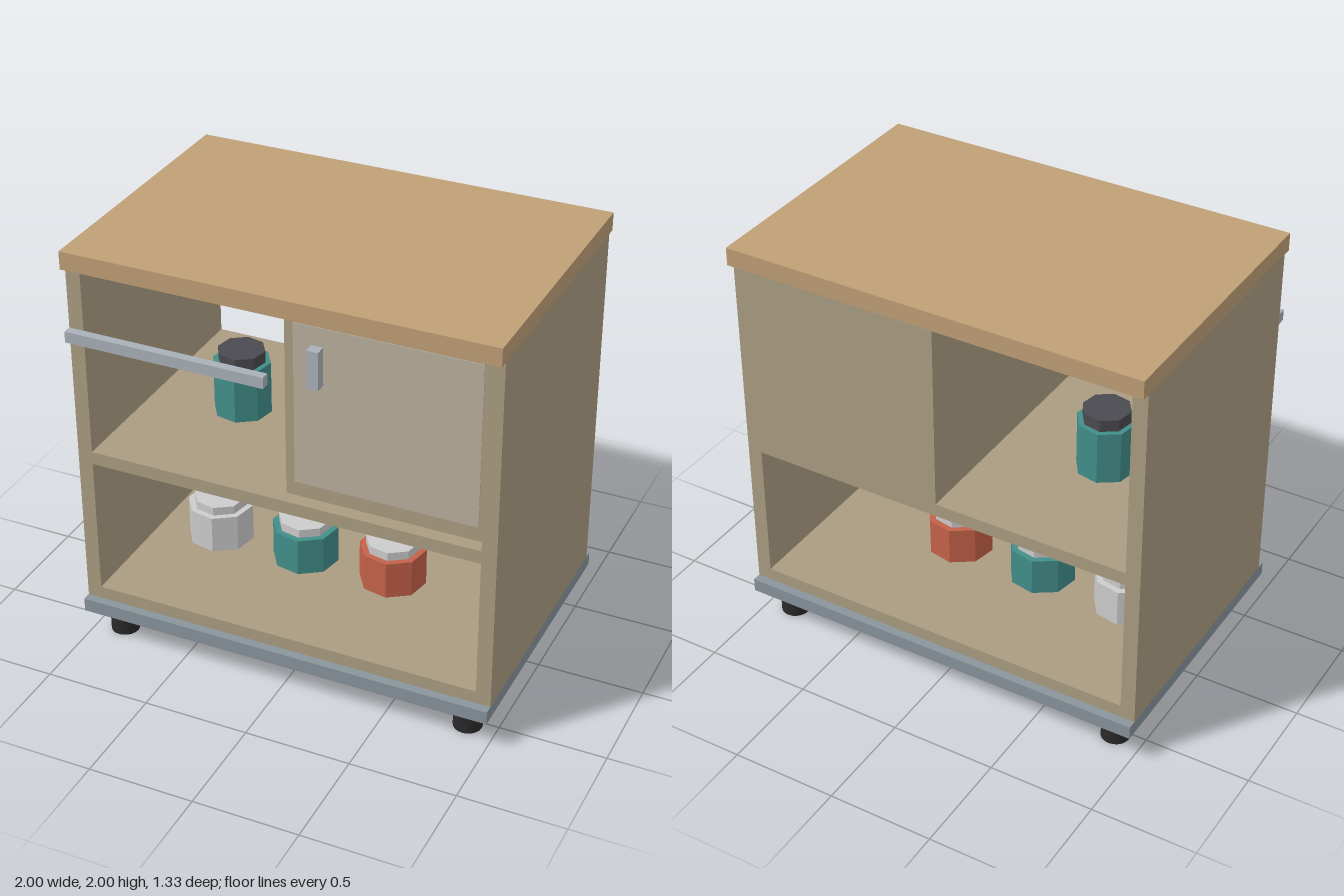
import * as THREE from 'three';

const mat = (color, flatShading = false) => new THREE.MeshStandardMaterial({ color, flatShading });

export function createModel() {
  const model = new THREE.Group();
  model.name = 'kitchenCart';

  const body = mat(0xaa9c81), wood = mat(0xbf9f76), metal = mat(0xaab0b8);
  const baseGrey = mat(0x8a949c), black = mat(0x2a2a2c), doorLight = mat(0xb9af9b);
  const teal = mat(0x428e89, true), red = mat(0xc4614a, true);
  const grey = mat(0xcccccc, true), dark = mat(0x4a4a50, true);

  // Box given by its min and max corners
  const box = (name, material, [x0, y0, z0], [x1, y1, z1]) => {
    const mesh = new THREE.Mesh(new THREE.BoxGeometry(x1 - x0, y1 - y0, z1 - z0), material);
    mesh.position.set((x0 + x1) / 2, (y0 + y1) / 2, (z0 + z1) / 2);
    mesh.name = name;
    model.add(mesh);
  };

  const D = 0.667; // half depth of top and base
  const d = 0.625; // half depth of carcass

  // Carcass, open at front and back
  box('worktop', wood, [-1, 1.915, -D], [1, 2, D]);
  box('basePlate', baseGrey, [-1, 0.14, -D], [1, 0.205, D]);
  box('leftSide', body, [0.93, 0.205, -d], [1, 1.915, d]);
  box('rightSide', body, [-1, 0.205, -d], [-0.93, 1.915, d]);
  box('bottomShelf', body, [-0.93, 0.205, -d], [0.93, 0.267, d]);
  box('middleShelf', body, [-0.93, 0.937, -d], [0.93, 1, d]);

  // Closed cupboard, its front set back behind the side edges
  box('cupboard', body, [0, 1, -d], [0.93, 1.915, 0.56]);
  box('doorPanel', doorLight, [0.042, 1.07, 0.56], [0.89, 1.848, 0.564]);
  box('doorHandle', metal, [0.126, 1.58, 0.56], [0.18, 1.76, 0.615]);

  // Towel rail across the open compartment
  box('towelRail', metal, [-1, 1.562, d], [-0.048, 1.615, D]);

  // Feet
  for (const x of [-0.865, 0.865]) for (const z of [-0.535, 0.535]) {
    const foot = new THREE.Mesh(new THREE.CylinderGeometry(0.067, 0.067, 0.14, 20), black);
    foot.position.set(x, 0.07, z);
    foot.name = 'foot';
    model.add(foot);
  }

  // Eight-sided storage jars with lids
  const jar = (x, y, r, h, lidR, lidH, jarMat, lidMat) => {
    const group = new THREE.Group();
    group.name = 'jar';
    const add = (name, radius, height, y0, material) => {
      const mesh = new THREE.Mesh(new THREE.CylinderGeometry(radius, radius, height, 8), material);
      mesh.position.y = y0 + height / 2;
      mesh.rotation.y = Math.PI / 16;
      mesh.name = name;
      group.add(mesh);
    };
    add('jarBody', r, h, 0, jarMat);
    add('jarLid', lidR, lidH, h, lidMat);
    group.position.set(x, y, 0);
    model.add(group);
  };
  [grey, teal, red].forEach((m, i) => jar(-0.626 + i * 0.446, 0.267, 0.158, 0.184, 0.128, 0.042, m, grey));
  jar(-0.493, 1, 0.136, 0.255, 0.111, 0.057, teal, dark);

  return model;
}
